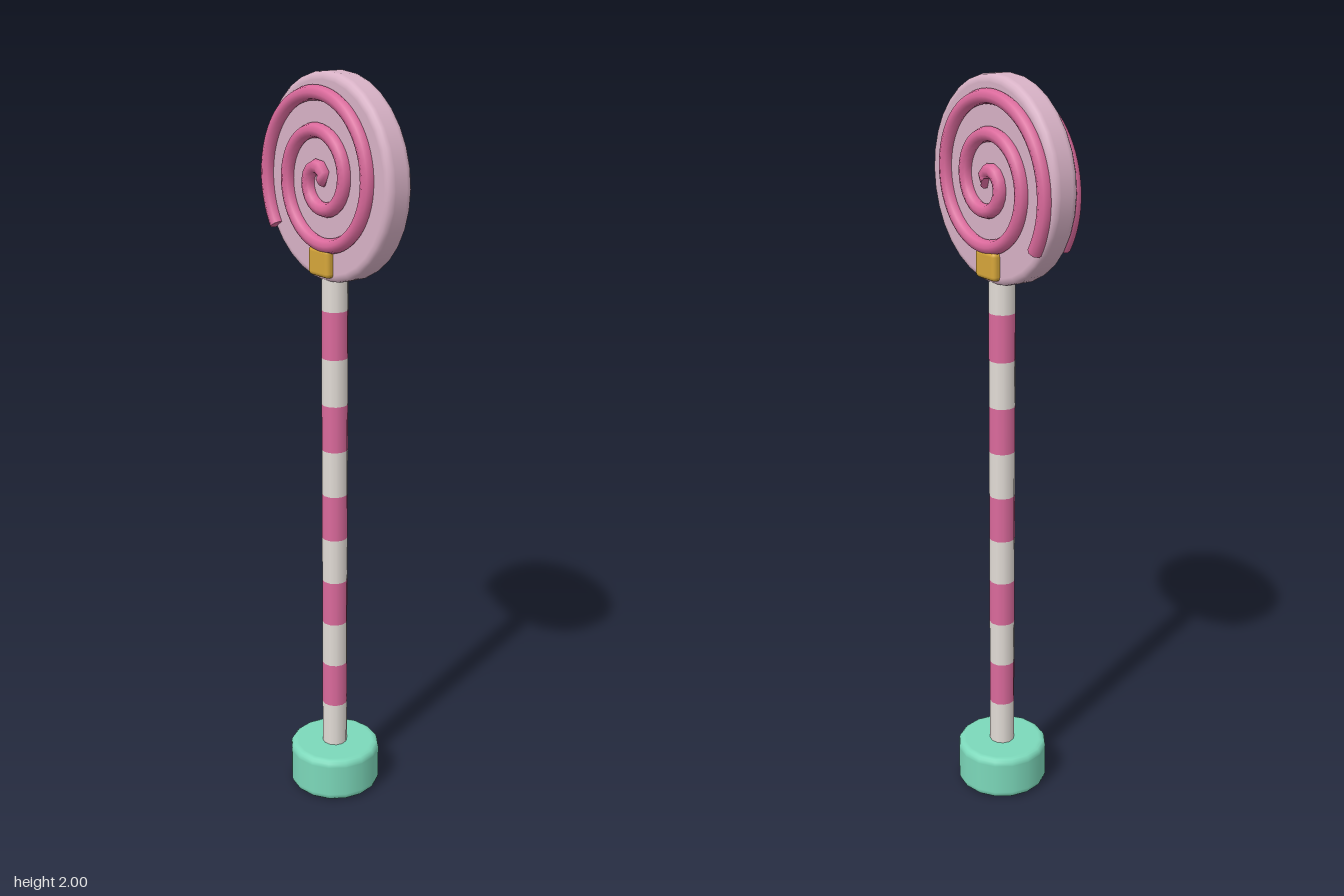
import * as THREE from 'three';
import { RoundedBoxGeometry } from 'three/addons/geometries/RoundedBoxGeometry.js';

const material = (name, color) => {
  const m = new THREE.MeshStandardMaterial({ color });
  m.name = name;
  return m;
};

// Solid disc along y with rounded rims; extra points keep the flat areas flat
function roundedDisc(radius, height, bevel, sides) {
  const h = height / 2;
  const inner = radius - bevel;
  const pts = [[0, -h], [inner - 0.004, -h]];
  for (const [side, start] of [[-1, -Math.PI / 2], [1, 0]]) {
    for (let i = 0; i <= 3; i++) {
      const a = start + (i / 3) * (Math.PI / 2);
      pts.push([inner + bevel * Math.cos(a), side * (h - bevel) + bevel * Math.sin(a)]);
    }
    if (side < 0) pts.push([radius, -h + bevel + 0.004], [radius, h - bevel - 0.004]);
  }
  pts.push([inner - 0.004, h], [0, h]);
  return new THREE.LatheGeometry(pts.map(([x, y]) => new THREE.Vector2(x, y)), sides);
}

// Flat spiral winding outwards from the candy centre
class Spiral extends THREE.Curve {
  getPoint(t, target = new THREE.Vector3()) {
    const turns = 2.6 * t;
    const r = 0.005 + 0.09 * turns;
    const a = turns * Math.PI * 2;
    return target.set(r * Math.cos(a), r * Math.sin(a), 0);
  }
}

export function createModel() {
  const model = new THREE.Group();
  model.name = 'lollipop';

  const mint = material('mint', 0x7cd8ba);
  const cream = material('cream', 0xe2dcd6);
  const pink = material('pink', 0xdb6a9c);
  const palePink = material('palePink', 0xd8b2c6);
  const gold = material('gold', 0xd6a63a);

  const add = (parent, name, geometry, mat, x = 0, y = 0, z = 0) => {
    const mesh = new THREE.Mesh(geometry, mat);
    mesh.name = name;
    mesh.position.set(x, y, z);
    parent.add(mesh);
    return mesh;
  };

  // Foot
  add(model, 'base', roundedDisc(0.127, 0.127, 0.016, 16), mint, 0, 0.0635);

  // Striped stick
  const stick = new THREE.Group();
  stick.name = 'stick';
  model.add(stick);
  const bandHeight = 0.1275;
  const band = new THREE.CylinderGeometry(0.035, 0.035, bandHeight, 12);
  for (let i = 0; i < 11; i++) {
    add(stick, 'stickBand' + (i + 1), band, i % 2 ? pink : cream, 0, 0.127 + bandHeight * (i + 0.5));
  }

  // Candy head
  const head = new THREE.Group();
  head.name = 'head';
  head.position.y = 1.74;
  model.add(head);
  add(head, 'candyDisc', roundedDisc(0.26, 0.075, 0.016, 32), palePink).rotation.x = Math.PI / 2;

  // Raised swirls on both faces, with closed ends
  const curve = new Spiral();
  const tubeRadius = 0.019;
  const tube = new THREE.TubeGeometry(curve, 110, tubeRadius, 8, false);
  const cap = new THREE.CircleGeometry(tubeRadius, 8);
  for (const side of [1, -1]) {
    const swirl = new THREE.Group();
    swirl.name = side > 0 ? 'frontSwirl' : 'backSwirl';
    swirl.position.z = side * 0.043;
    head.add(swirl);
    add(swirl, 'swirlTube', tube, pink);
    for (const t of [0, 1]) {
      const p = curve.getPoint(t);
      const dir = curve.getTangent(t).multiplyScalar(t ? 1 : -1);
      const end = add(swirl, 'swirlEnd', cap, pink, p.x, p.y, p.z);
      end.quaternion.setFromUnitVectors(new THREE.Vector3(0, 0, 1), dir);
    }
  }

  // Collar clasping the bottom of the candy
  add(model, 'collar', new RoundedBoxGeometry(0.084, 0.075, 0.114, 3, 0.012), gold, 0, 1.533);

  return model;
}
